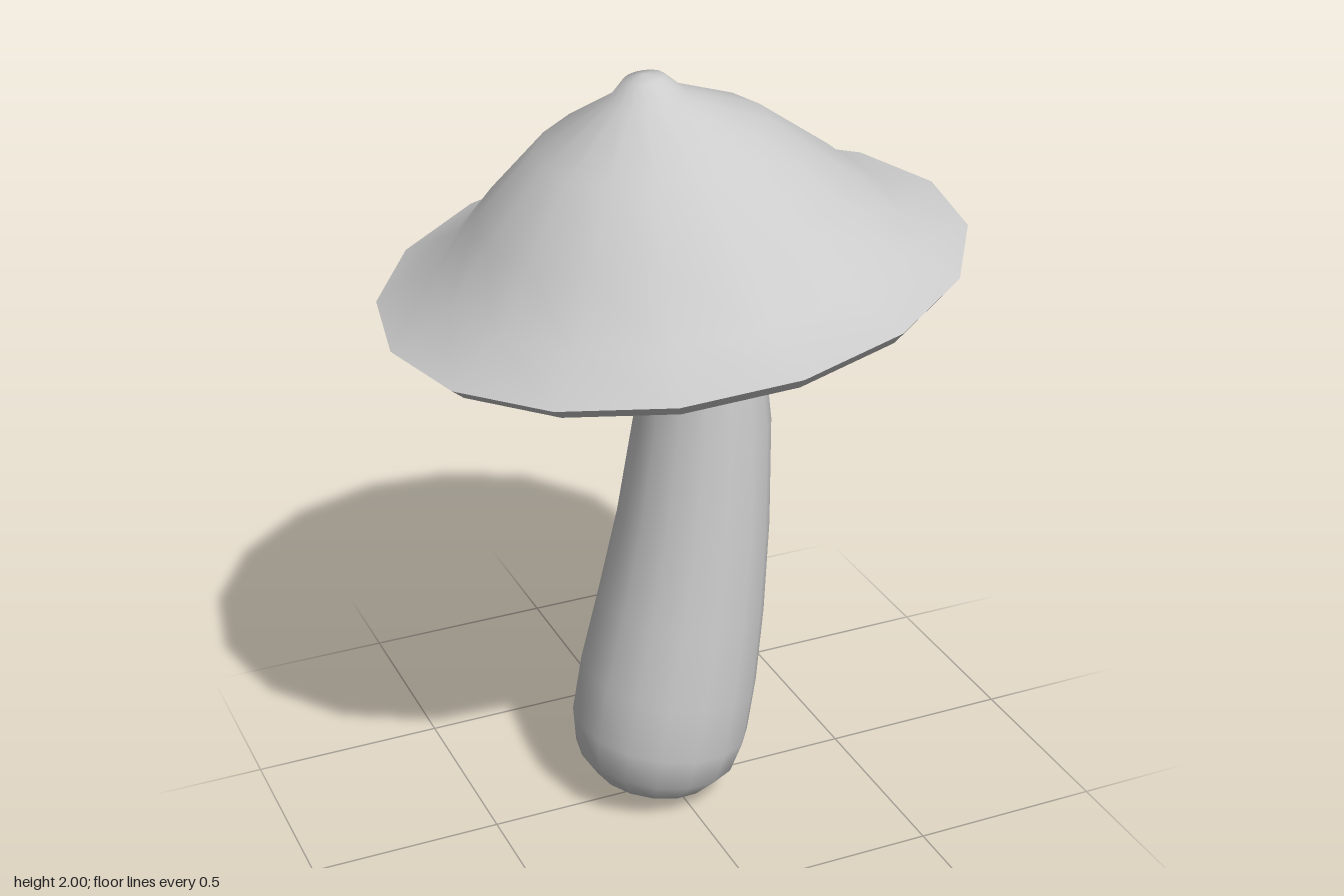
import * as THREE from 'three';
import { mergeVertices } from 'three/addons/utils/BufferGeometryUtils.js';

const SIDES = 16;
const material = new THREE.MeshStandardMaterial({ color: 0xcccccc });

// Turned surface with a seamless, smooth finish
function smooth(geometry) {
  geometry.deleteAttribute('uv');
  geometry.deleteAttribute('normal');
  const merged = mergeVertices(geometry, 1e-4);
  merged.computeVertexNormals();
  return merged;
}

function turned(name, profile) {
  const points = profile.map(([r, y]) => new THREE.Vector2(r, y));
  const mesh = new THREE.Mesh(smooth(new THREE.LatheGeometry(points, SIDES)), material);
  mesh.name = name;
  return mesh;
}

// Tilted cap: hard edges at the rim, so each surface is separate
function createCap() {
  const cap = new THREE.Group();
  cap.name = 'cap';
  const edge = [0.725, 0], lip = [0.695, -0.032];
  cap.add(
    turned('capTop', [edge, [0.57, 0.06], [0.45, 0.185], [0.283, 0.338],
      [0.093, 0.438], [0.05, 0.484], [0, 0.494]]),
    turned('capRim', [lip, edge]),
    turned('capUnderside', [[0, 0.13], [0.35, 0.06], lip]),
  );
  cap.rotation.z = THREE.MathUtils.degToRad(8.1);
  cap.position.y = 1.51;
  return cap;
}

// Bent stem: rings set square to a curved centre line
function createStem() {
  // centre x, centre y, radius
  const rings = [
    [-0.062, 0, 0], [-0.059, 0.02, 0.09], [-0.053, 0.058, 0.16], [-0.044, 0.12, 0.214],
    [-0.03, 0.21, 0.234], [-0.005, 0.36, 0.233], [0.03, 0.56, 0.218], [0.064, 0.8, 0.197],
    [0.088, 1.08, 0.174], [0.086, 1.28, 0.152], [0.062, 1.44, 0.13],
    [0.025, 1.57, 0.104], [-0.01, 1.68, 0.09], [-0.012, 1.685, 0],
  ];
  const geometry = new THREE.LatheGeometry(
    rings.map(([, y, r]) => new THREE.Vector2(r, y)), SIDES);
  const pos = geometry.attributes.position;
  for (let i = 0; i < pos.count; i++) {
    const j = i % rings.length;
    const [cx, cy] = rings[j];
    const a = rings[Math.max(j - 1, 0)], b = rings[Math.min(j + 1, rings.length - 1)];
    const t = new THREE.Vector2(b[0] - a[0], b[1] - a[1]).normalize();
    const x = pos.getX(i);
    pos.setXY(i, cx + x * t.y, cy - x * t.x);
  }
  const stem = new THREE.Mesh(smooth(geometry), material);
  stem.name = 'stem';
  return stem;
}

export function createModel() {
  const mushroom = new THREE.Group();
  mushroom.name = 'mushroom';
  mushroom.add(createStem(), createCap());
  return mushroom;
}
